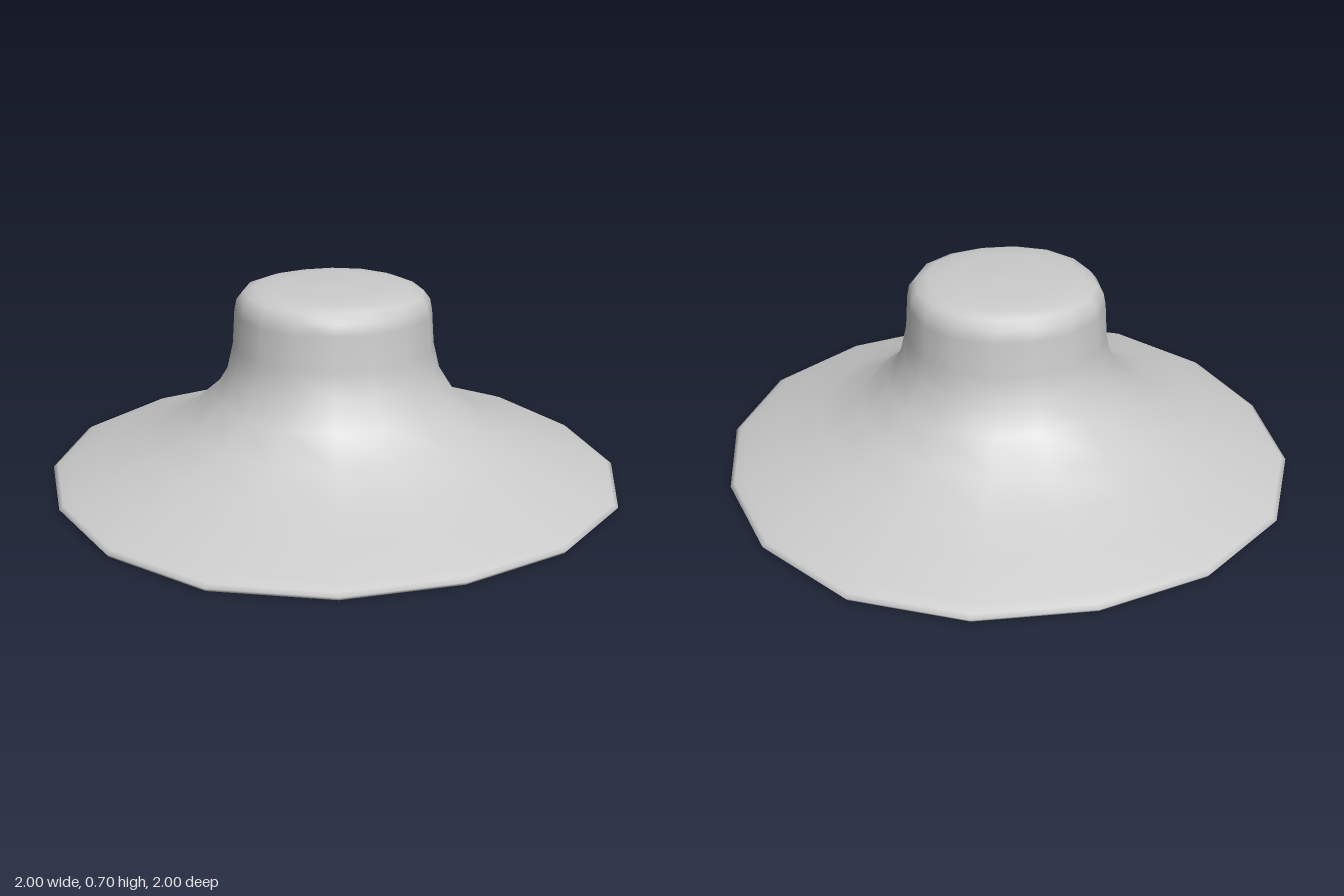
import * as THREE from 'three';

// Profile as [radius, height]: up the hollow inside, round the rim, over the outside
const inside = [
  [0, 0.64], [0.16, 0.635], [0.24, 0.61], [0.27, 0.54], [0.29, 0.4], [0.33, 0.295],
  [0.4, 0.2], [0.5, 0.125], [0.6, 0.08], [0.75, 0.04], [0.9, 0.008],
];
const rim = [[0.96, 0], [0.99, 0.002], [1, 0.015], [0.985, 0.025]];
const outside = [
  [0.95, 0.04], [0.82, 0.087], [0.67, 0.14], [0.525, 0.21], [0.425, 0.3], [0.37, 0.39],
  [0.349, 0.48], [0.341, 0.6], [0.333, 0.64], [0.31, 0.67], [0.27, 0.685], [0.18, 0.695], [0, 0.7],
];

export function createModel() {
  const group = new THREE.Group();
  group.name = 'hat';

  const profile = [...inside, ...rim, ...outside].map(([r, y]) => new THREE.Vector2(r, y));
  const geometry = new THREE.LatheGeometry(profile, 16);

  // Push the diagonals out slightly, so the plan is a softly squared circle
  const position = geometry.attributes.position;
  for (let i = 0; i < position.count; i++) {
    const x = position.getX(i), z = position.getZ(i);
    const swell = 1 + 0.015 * (1 - Math.cos(4 * Math.atan2(x, z)));
    position.setX(i, x * swell);
    position.setZ(i, z * swell);
  }

  const shell = new THREE.Mesh(geometry, new THREE.MeshStandardMaterial({ color: 0xcccccc }));
  shell.name = 'crownAndBrim';
  group.add(shell);
  return group;
}
